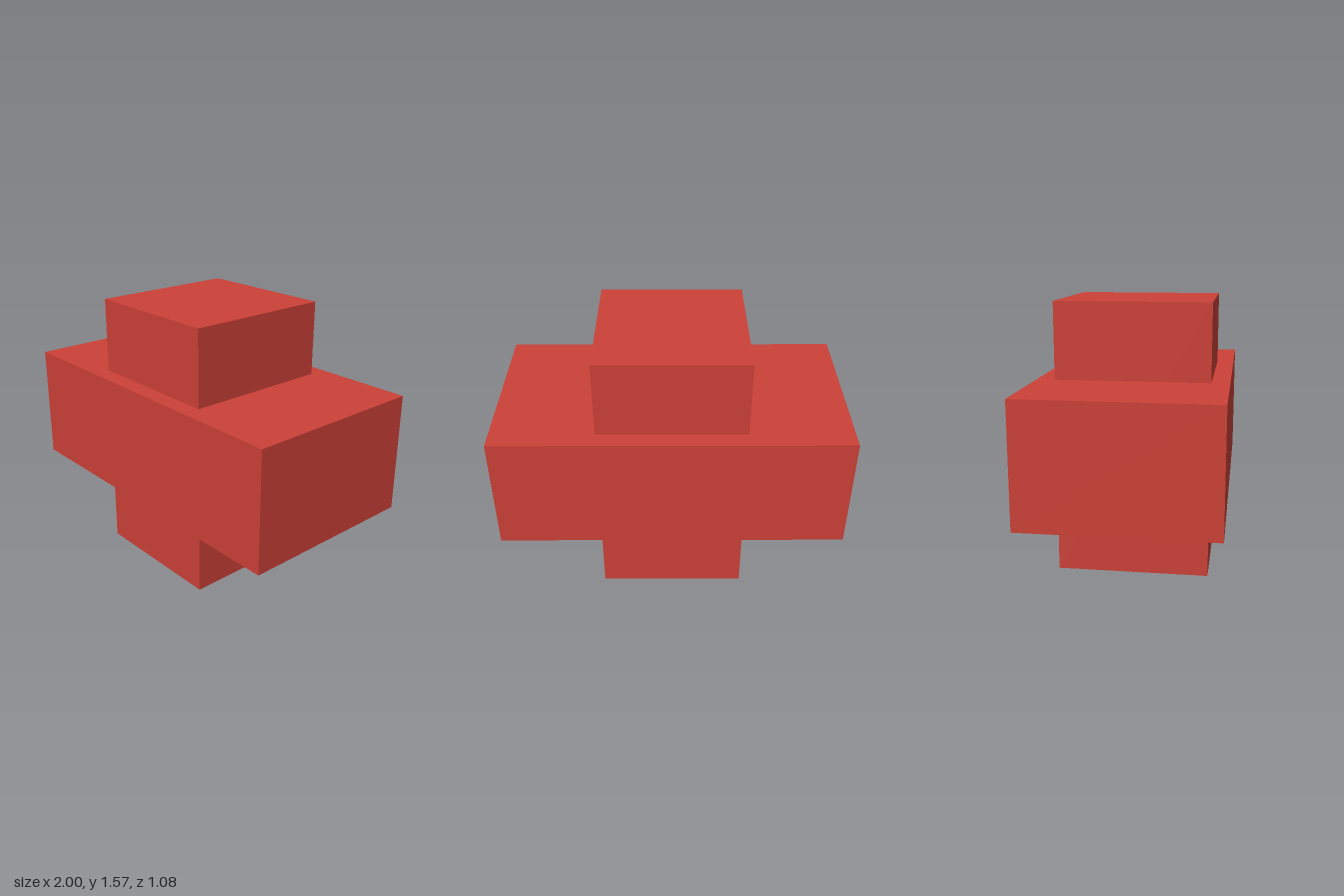
import * as THREE from 'three';

export function createModel() {
  const model = new THREE.Group();
  model.name = 'crossedBlocks';
  const red = new THREE.MeshStandardMaterial({ color: 0xcc4137 });

  // Box standing with its underside at height y
  function block(name, width, height, depth, y) {
    const mesh = new THREE.Mesh(new THREE.BoxGeometry(width, height, depth), red);
    mesh.name = name;
    mesh.position.y = y + height / 2;
    model.add(mesh);
  }

  // Upright core running through the wide crossing block
  block('uprightBlock', 0.84, 1.565, 0.874, 0);
  block('crossBlock', 2, 0.692, 1.08, 0.437);

  return model;
}
